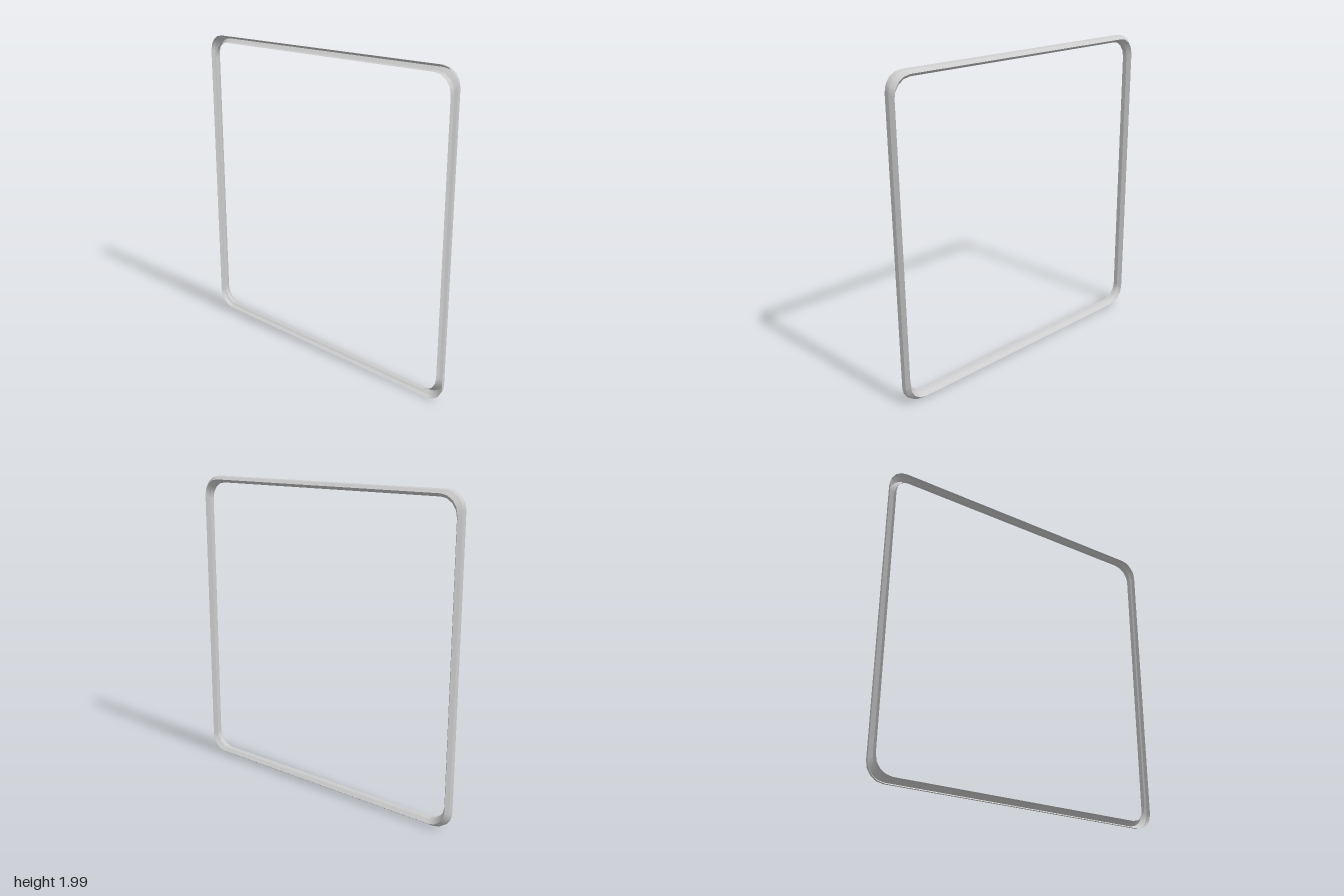
import * as THREE from 'three';

const HALF_W = 1, HALF_H = 0.9925, RADIUS = 0.11, CORNER_STEPS = 4;

// Rounded rectangle loop, moved inwards by inset, at depth z
function loopPoints(inset, z) {
  const pts = [];
  const w = HALF_W - inset - RADIUS, h = HALF_H - inset - RADIUS;
  [[1, 1], [-1, 1], [-1, -1], [1, -1]].forEach(([sx, sy], corner) => {
    for (let i = 0; i <= CORNER_STEPS; i++) {
      const a = (corner + i / CORNER_STEPS) * Math.PI / 2;
      pts.push([sx * w + Math.cos(a) * RADIUS, HALF_H + sy * h + Math.sin(a) * RADIUS, z]);
    }
  });
  return pts;
}

// Smooth band between two loops; separate bands keep the lengthwise creases sharp
function band(a, b, material) {
  const p = loopPoints(...a), q = loopPoints(...b), n = p.length;
  const index = [];
  for (let i = 0; i < n; i++) {
    const j = (i + 1) % n;
    index.push(i, n + i, j, j, n + i, n + j);
  }
  const geo = new THREE.BufferGeometry();
  geo.setAttribute('position', new THREE.Float32BufferAttribute([...p, ...q].flat(), 3));
  geo.setIndex(index);
  geo.computeVertexNormals();
  return new THREE.Mesh(geo, material);
}

export function createModel() {
  const material = new THREE.MeshStandardMaterial({ color: 0xcccccc, side: THREE.DoubleSide });
  const frame = new THREE.Group();
  frame.name = 'squareFrame';

  // V-shaped channel: open to the front, ridge at the back (inset, z)
  const profile = [[0, 0.027], [0.004, 0], [0.022, -0.027], [0.04, 0], [0.044, 0.027]];
  const names = ['outerWall', 'outerSlope', 'innerSlope', 'innerWall'];
  names.forEach((name, i) => {
    const mesh = band(profile[i], profile[i + 1], material);
    mesh.name = name;
    frame.add(mesh);
  });
  return frame;
}
